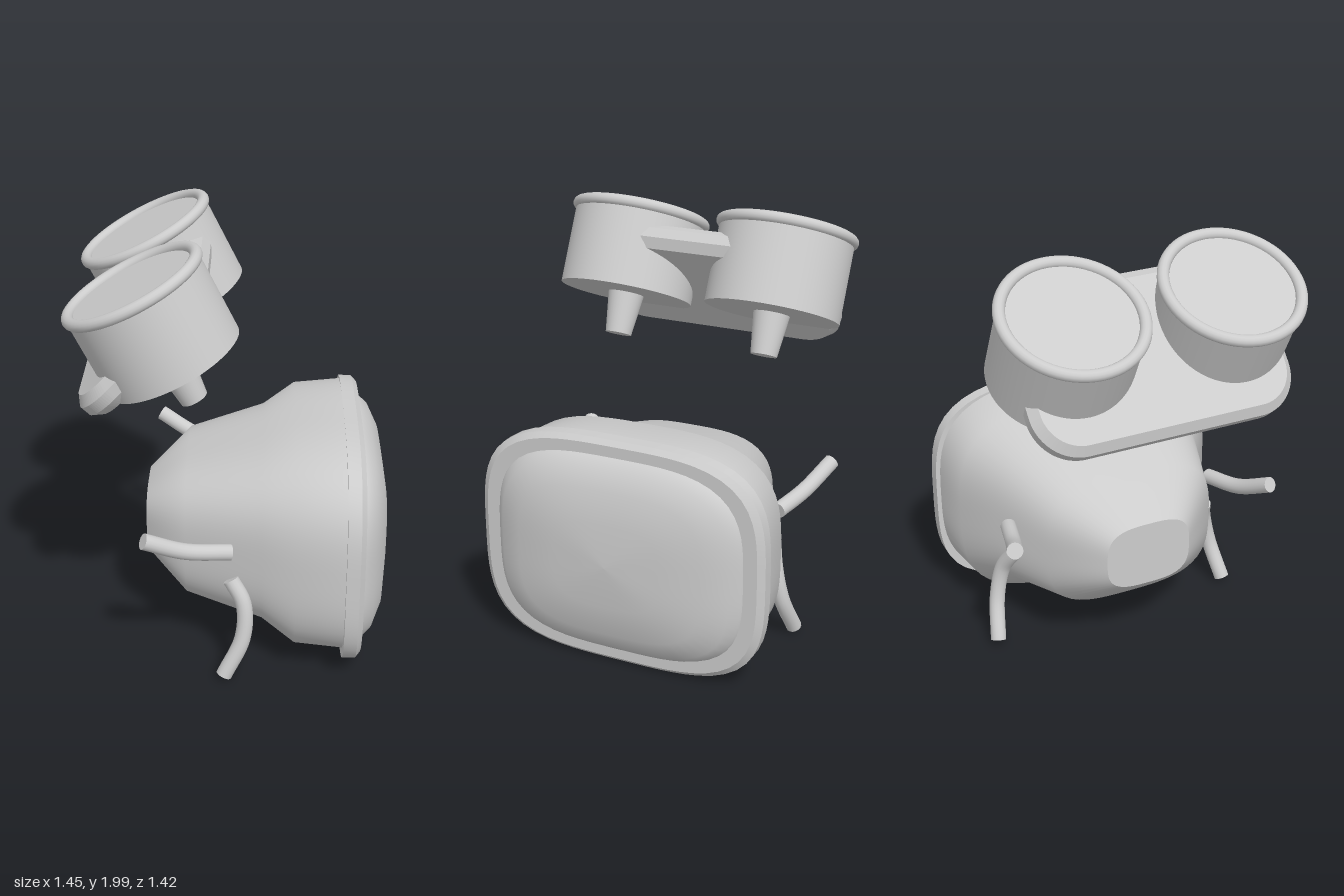
import * as THREE from 'three';

const grey = new THREE.MeshStandardMaterial({ color: 0xcccccc });
grey.name = 'light grey';

function part(name, geometry, parent) {
  const mesh = new THREE.Mesh(geometry, grey);
  mesh.name = name;
  parent.add(mesh);
  return mesh;
}

// Skin of rounded-rectangle rings [x, half width in z, half height]; a repeated ring makes a sharp edge
function loft(rings, power, centreY, sides = 72) {
  const pos = [], index = [];
  rings.forEach(([x, rz, ry], k) => {
    for (let i = 0; i < sides; i++) {
      const t = (i / sides) * Math.PI * 2, c = Math.cos(t), s = Math.sin(t);
      const r = Math.pow(Math.abs(c) ** power + Math.abs(s) ** power, -1 / power);
      pos.push(x, centreY + ry * r * s, rz * r * c);
      if (k === rings.length - 1) continue;
      const next = rings[k + 1];
      if (next[0] === x && next[1] === rz && next[2] === ry) continue;
      const a = k * sides + i, b = k * sides + (i + 1) % sides;
      index.push(a, a + sides, b, b, a + sides, b + sides);
    }
  });
  const g = new THREE.BufferGeometry();
  g.setAttribute('position', new THREE.Float32BufferAttribute(pos, 3));
  g.setIndex(index);
  g.computeVertexNormals();
  return g;
}

// Curved limb with flat ends
function limb(name, points, radius, parent) {
  const group = new THREE.Group();
  group.name = name;
  const curve = new THREE.CatmullRomCurve3(points.map(p => new THREE.Vector3(...p)));
  part(name + 'Tube', new THREE.TubeGeometry(curve, 20, radius, 16), group);
  for (const t of [0, 1]) {
    const cap = part(name + 'End', new THREE.CircleGeometry(radius, 16), group);
    const p = curve.getPoint(t), d = curve.getTangent(t).multiplyScalar(t ? 1 : -1);
    cap.position.copy(p);
    cap.lookAt(p.clone().add(d));
  }
  parent.add(group);
}

export function createModel() {
  const model = new THREE.Group();
  model.name = 'screenHeadWithGoggles';

  // Casing, narrowing toward the back
  const back = [-0.4, 0.21, 0.16];
  part('casing', loft([
    [-0.4, 0, 0], back, back,
    [-0.21, 0.42, 0.325], [0.14, 0.545, 0.42], [0.29, 0.66, 0.51], [0.52, 0.68, 0.53],
  ], 3.2, 0.565), model);

  // Screen frame with a chamfered front
  const f0 = [0.51, 0.7, 0.545], f1 = [0.57, 0.7, 0.545], f2 = [0.593, 0.67, 0.523];
  part('screenFrame', loft([
    [0.51, 0.6, 0.46], f0, f0, f1, f1, f2, f2, [0.593, 0.58, 0.45],
  ], 3.5, 0.55), model);

  // Bulging screen
  part('screen', loft([
    [0.585, 0.61, 0.475], [0.605, 0.6, 0.467], [0.645, 0.56, 0.435], [0.69, 0.45, 0.35],
    [0.715, 0.26, 0.2], [0.725, 0, 0],
  ], 3.4, 0.55), model);

  // Arms, legs and goggle cups, mirrored in z
  const tilt = 0.462;
  for (const s of [1, -1]) {
    limb('arm', [[0, 0.63, s * 0.53], [-0.2, 0.665, s * 0.585], [-0.38, 0.752, s * 0.65]], 0.037, model);
    limb('leg', [[0, 0.475, s * 0.51], [0.058, 0.37, s * 0.545], [0.055, 0.21, s * 0.58], [-0.03, 0.028, s * 0.615]], 0.037, model);

    const cup = new THREE.Group();
    cup.name = 'goggleCup';
    cup.position.set(-0.42, 1.833, s * 0.375);
    cup.rotation.z = tilt;
    part('cupBody', new THREE.CylinderGeometry(0.315, 0.315, 0.385, 64), cup).position.y = -0.1925;
    const rim = part('cupRim', new THREE.TorusGeometry(0.306, 0.027, 14, 64), cup);
    rim.rotation.x = Math.PI / 2;
    part('eyepiece', new THREE.CylinderGeometry(0.086, 0.062, 0.2, 32), cup).position.y = -0.48;
    model.add(cup);
  }

  // Bevelled plate joining the two cups
  const bevel = 0.038, hx = 0.375 - bevel, hz = 0.62 - bevel, r = 0.17;
  const outline = new THREE.Shape();
  outline.absarc(hx - r, hz - r, r, 0, Math.PI / 2);
  outline.absarc(-hx + r, hz - r, r, Math.PI / 2, Math.PI);
  outline.absarc(-hx + r, -hz + r, r, Math.PI, Math.PI * 1.5);
  outline.absarc(hx - r, -hz + r, r, Math.PI * 1.5, Math.PI * 2);
  outline.closePath();
  const plate = new THREE.ExtrudeGeometry(outline, {
    depth: 0.05, bevelEnabled: true, bevelSize: bevel, bevelThickness: 0.04, bevelSegments: 1, curveSegments: 12,
  });
  plate.translate(0, 0, -0.025);
  plate.rotateX(-Math.PI / 2);
  plate.rotateZ(0.82);
  part('bridgePlate', plate, model).position.set(-0.38, 1.567, 0);

  return model;
}
